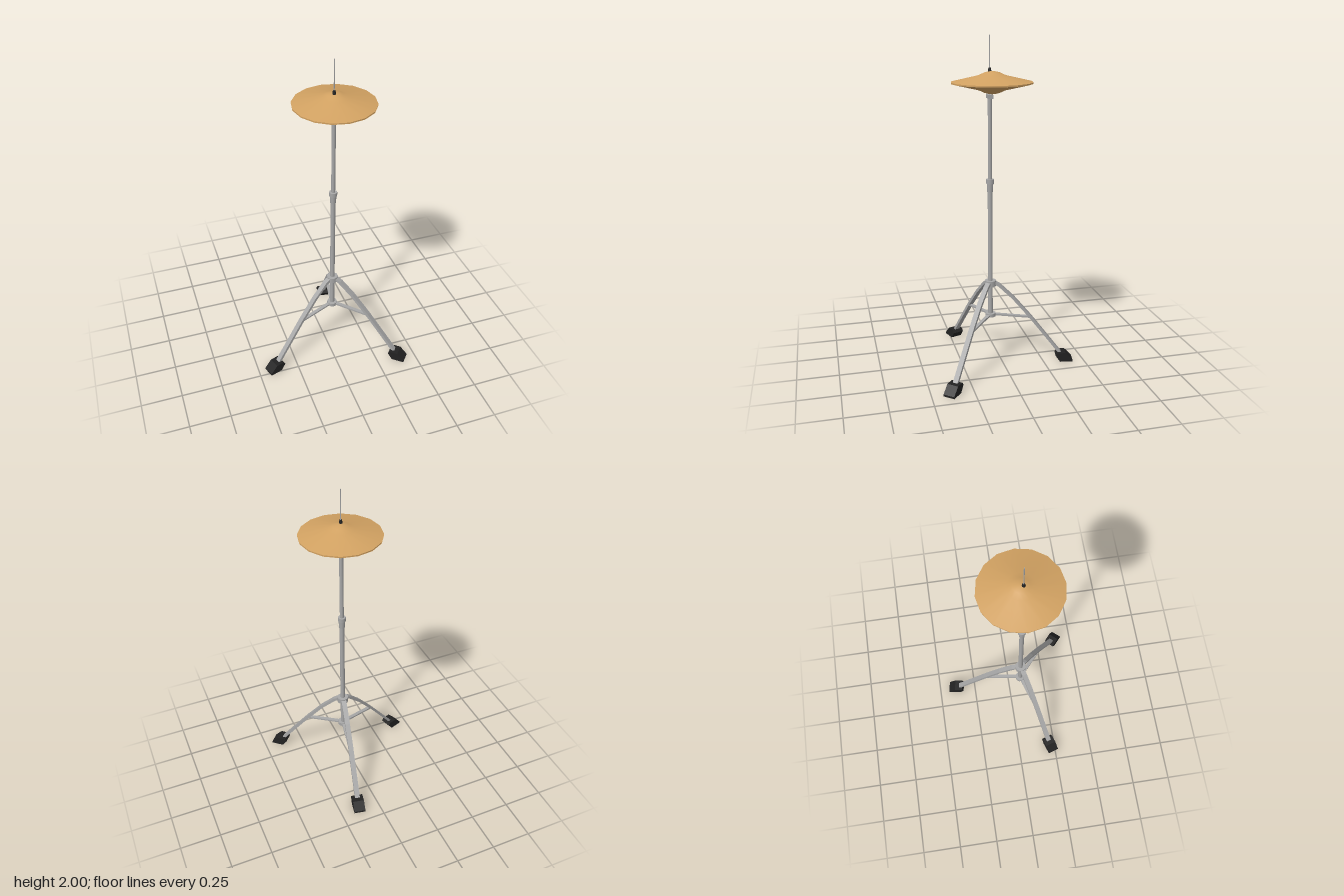
import * as THREE from 'three';

const mat = (name, color, opts = {}) => {
  const m = new THREE.MeshStandardMaterial({ color, ...opts });
  m.name = name;
  return m;
};

export function createModel() {
  const metal = mat('metal', 0xa8a8a8);
  const bronze = mat('bronze', 0xd2a262, { side: THREE.DoubleSide });
  const rubber = mat('rubber', 0x222222);

  const model = new THREE.Group();
  model.name = 'cymbalStand';
  const stand = new THREE.Group();
  stand.name = 'stand';
  stand.position.set(0.04, 0, 0.07);
  model.add(stand);

  const add = (parent, name, geo, material) => {
    const m = new THREE.Mesh(geo, material);
    m.name = name;
    parent.add(m);
    return m;
  };
  // vertical cylinder between two heights
  const post = (name, rBottom, rTop, y0, y1, material = metal, sides = 10) => {
    const m = add(stand, name, new THREE.CylinderGeometry(rTop, rBottom, y1 - y0, sides), material);
    m.position.y = (y0 + y1) / 2;
    return m;
  };
  // side profile in the x-y plane, extruded to a centred width
  const slab = (points, width) => {
    const shape = new THREE.Shape(points.map(([x, y]) => new THREE.Vector2(x, y)));
    const geo = new THREE.ExtrudeGeometry(shape, { depth: width, bevelEnabled: false });
    return geo.translate(0, 0, -width / 2);
  };
  // bar of even thickness following a centre line
  const bar = (line, thickness, width) => {
    const top = [], bottom = [];
    line.forEach(([x, y], i) => {
      const a = line[Math.max(i - 1, 0)], b = line[Math.min(i + 1, line.length - 1)];
      const dx = b[0] - a[0], dy = b[1] - a[1], k = thickness / 2 / Math.hypot(dx, dy);
      top.push([x - dy * k, y + dx * k]);
      bottom.unshift([x + dy * k, y - dx * k]);
    });
    return slab([...bottom, ...top].reverse(), width);
  };

  // centre column
  post('lowerPole', 0.0145, 0.0145, 0.31, 1.11);
  post('sleeve', 0.017, 0.02, 1.095, 1.148);
  post('sleeveCollar', 0.024, 0.024, 1.146, 1.172);
  post('upperPole', 0.012, 0.012, 1.17, 1.65);
  post('upperHub', 0.035, 0.035, 0.505, 0.54);
  post('lowerHub', 0.032, 0.032, 0.307, 0.328);
  post('pullRod', 0.003, 0.003, 1.65, 2.0, metal, 8);
  post('clutch', 0.011, 0.007, 1.795, 1.82, rubber);
  const seat = add(stand, 'cymbalSeat', new THREE.BoxGeometry(0.07, 0.022, 0.03), metal);
  seat.position.y = 1.657;

  // three legs with braces and feet
  [-79, 41, 161].forEach((deg) => {
    const leg = new THREE.Group();
    leg.name = 'leg';
    leg.rotation.y = -THREE.MathUtils.degToRad(deg);
    stand.add(leg);
    add(leg, 'legBar', bar([[0.02, 0.53], [0.055, 0.508], [0.14, 0.425], [0.245, 0.3], [0.44, 0.045]], 0.017, 0.031), metal);
    add(leg, 'brace', bar([[0.02, 0.319], [0.24, 0.296]], 0.01, 0.022), metal);
    add(leg, 'foot', slab([[0.434, 0], [0.512, 0], [0.512, 0.012], [0.468, 0.058], [0.417, 0.058], [0.406, 0.04]], 0.071), rubber);
  });

  // pair of cymbals, mirrored about the rim plane
  const half = [[0.238, 0.004], [0.08, 0.041], [0.045, 0.057], [0.018, 0.064], [0.001, 0.065]];
  [1, -1].forEach((s) => {
    const pts = half.map(([r, y]) => new THREE.Vector2(r, s * y));
    if (s > 0) pts.reverse();
    else pts.reverse();
    if (s < 0) pts.reverse(), pts.reverse();
    const ordered = s > 0 ? pts.reverse() : pts;
    const cymbal = add(model, s > 0 ? 'topCymbal' : 'bottomCymbal', new THREE.LatheGeometry(ordered, 16), bronze);
    cymbal.position.set(0.047, 1.735, 0.057);
  });
  const rim = add(model, 'cymbalRim', new THREE.CylinderGeometry(0.236, 0.236, 0.008, 16, 1, true), bronze);
  rim.position.set(0.047, 1.735, 0.057);
  return model;
}
